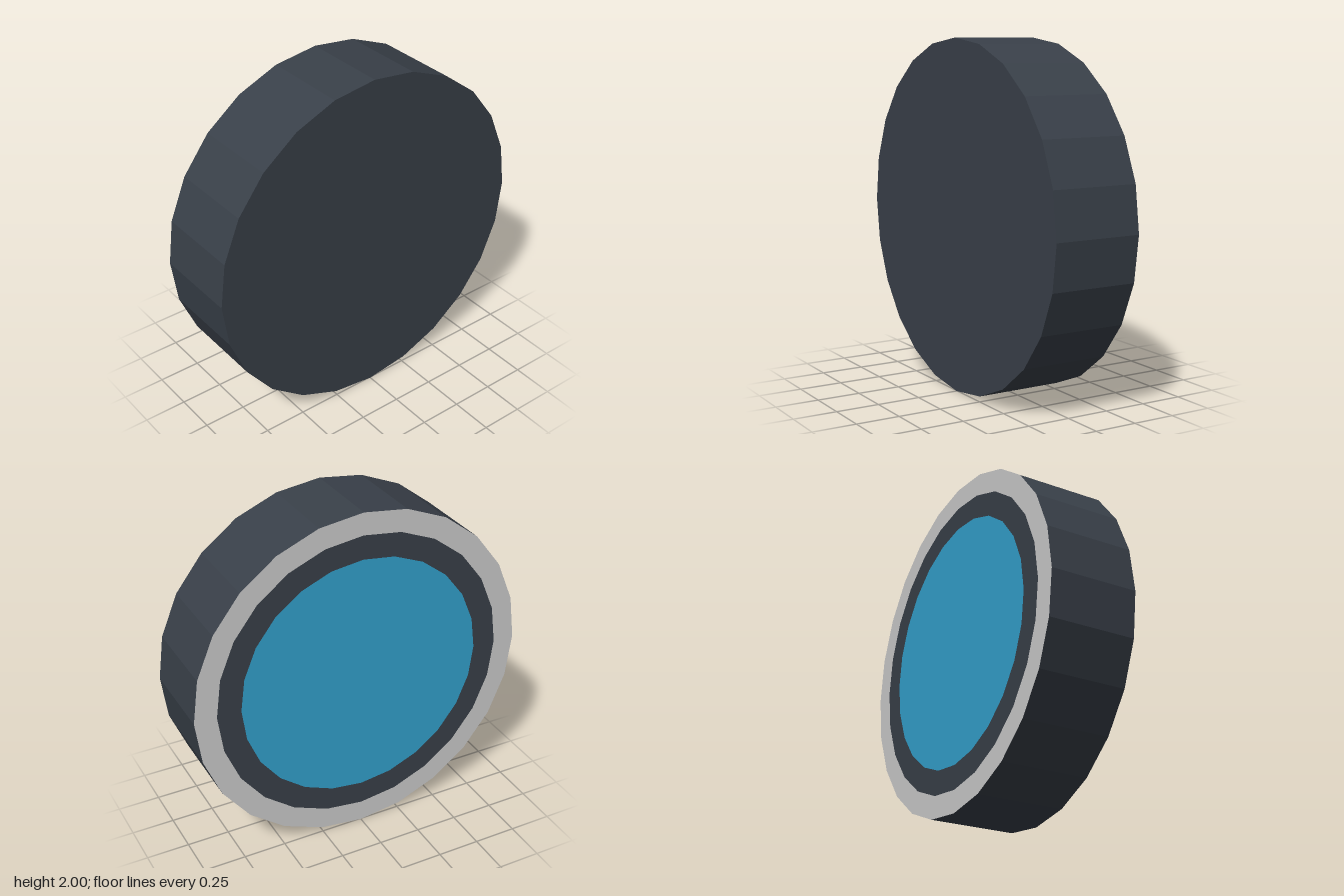
import * as THREE from 'three';

const SIDES = 24;
const HALF = 0.255; // half the depth of the disc

function material(color) {
  return new THREE.MeshStandardMaterial({ color, flatShading: true });
}

export function createModel() {
  const model = new THREE.Group();
  model.name = 'roundDisc';
  const dark = material(0x394049);
  const grey = material(0xcccccc);
  const blue = material(0x33a1cd);

  function add(parent, name, geometry, mat) {
    const mesh = new THREE.Mesh(geometry, mat);
    mesh.name = name;
    parent.add(mesh);
    return mesh;
  }

  // Centre of the disc sits one radius above the ground
  const disc = new THREE.Group();
  disc.name = 'disc';
  disc.position.y = 1;
  model.add(disc);

  // Outer wall and closed front
  const wall = new THREE.CylinderGeometry(1, 1, HALF * 2, SIDES, 1, true).rotateX(Math.PI / 2);
  add(disc, 'outerWall', wall, dark);
  add(disc, 'frontFace', new THREE.CircleGeometry(1, SIDES).translate(0, 0, HALF), dark);

  // Flush rings on the back
  const backRing = (inner, outer) =>
    new THREE.RingGeometry(inner, outer, SIDES).rotateY(Math.PI).translate(0, 0, -HALF);
  add(disc, 'backRim', backRing(0.87, 1), grey);
  add(disc, 'backInnerRing', backRing(0.73, 0.87), dark);

  // Core filling the middle, stopping just behind the front face
  const core = new THREE.CylinderGeometry(0.73, 0.73, HALF * 2 - 0.004, SIDES)
    .rotateX(Math.PI / 2)
    .translate(0, 0, -0.002);
  add(disc, 'core', core, blue);

  return model;
}
